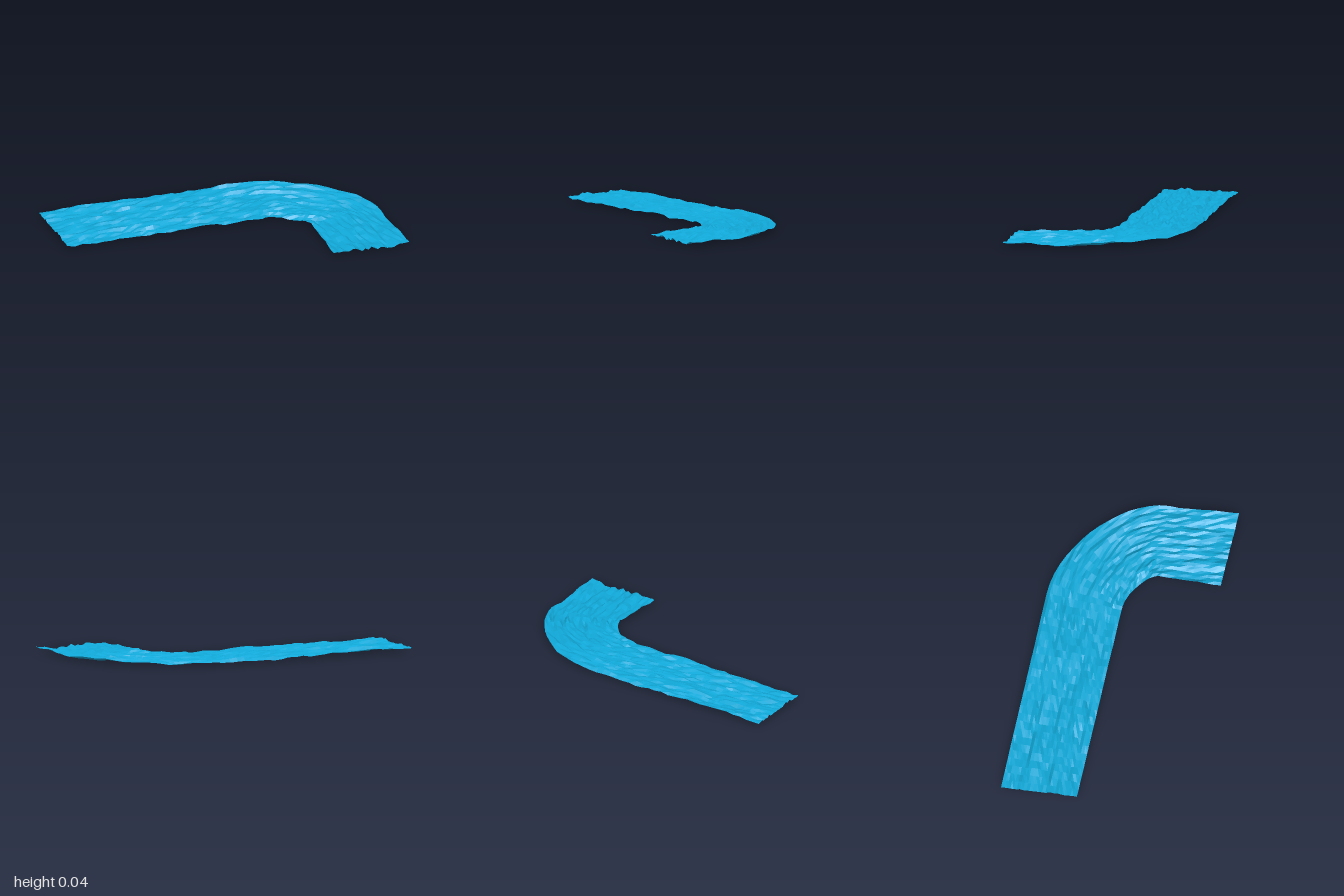
import * as THREE from 'three';

const ACROSS = 24;
const v = (x, z) => new THREE.Vector2(x, z);

// Repeatable value noise in 0..1
function hash(i, j) {
  const s = Math.sin(i * 127.1 + j * 311.7) * 43758.5453;
  return s - Math.floor(s);
}
function noise(x, y) {
  const i = Math.floor(x), j = Math.floor(y), u = x - i, w = y - j;
  const lerp = THREE.MathUtils.lerp;
  return lerp(lerp(hash(i, j), hash(i + 1, j), u), lerp(hash(i, j + 1), hash(i + 1, j + 1), u), w);
}

// One bank: straight reach, rounded bend, short reach; points run downstream
function bank(start, bendIn, bendOut, end, k) {
  const c1 = v(bendIn.x + (bendOut.x - bendIn.x) * k, bendIn.y);
  const c2 = v(bendOut.x, bendOut.y + (bendIn.y - bendOut.y) * k);
  const pieces = [
    [new THREE.LineCurve(start, bendIn), 26],
    [new THREE.CubicBezierCurve(bendIn, c1, c2, bendOut), 16],
    [new THREE.LineCurve(bendOut, end), 8],
  ];
  const points = [start];
  for (const [curve, n] of pieces) points.push(...curve.getPoints(n).slice(1));
  return points;
}

// Ripples stretched along the flow, with a slow swell beneath
function rippleHeight(i, j) {
  const streak = noise(i / 2.6 + j * 0.37, j * 0.85) - 0.5;
  const chop = hash(i + 50, j + 90) - 0.5;
  const swell = noise(i / 6 + 20, j / 6) - 0.5;
  return THREE.MathUtils.clamp(0.027 + streak * 0.026 + chop * 0.012 + swell * 0.018, 0, 0.053);
}

export function createModel() {
  const group = new THREE.Group();
  group.name = 'river';

  const outer = bank(v(-1, -0.475), v(0.25, -0.495), v(0.955, 0.14), v(1, 0.495), 0.48);
  const inner = bank(v(-0.955, -0.025), v(0.25, -0.04), v(0.505, 0.14), v(0.535, 0.495), 0.46);

  // Loft the water between the banks
  const positions = [], index = [], row = ACROSS + 1;
  outer.forEach((o, i) => {
    for (let j = 0; j <= ACROSS; j++) {
      const p = o.clone().lerp(inner[i], j / ACROSS);
      positions.push(p.x, rippleHeight(i, j), p.y);
      if (i < outer.length - 1 && j < ACROSS) {
        const a = i * row + j, b = a + row;
        index.push(a, a + 1, b, a + 1, b + 1, b);
      }
    }
  });
  const geometry = new THREE.BufferGeometry();
  geometry.setAttribute('position', new THREE.Float32BufferAttribute(positions, 3));
  geometry.setIndex(index);
  geometry.computeVertexNormals();

  const water = new THREE.Mesh(geometry, new THREE.MeshStandardMaterial({
    color: 0x10a9d9, flatShading: true, side: THREE.DoubleSide,
  }));
  water.name = 'waterSurface';
  group.add(water);
  return group;
}
